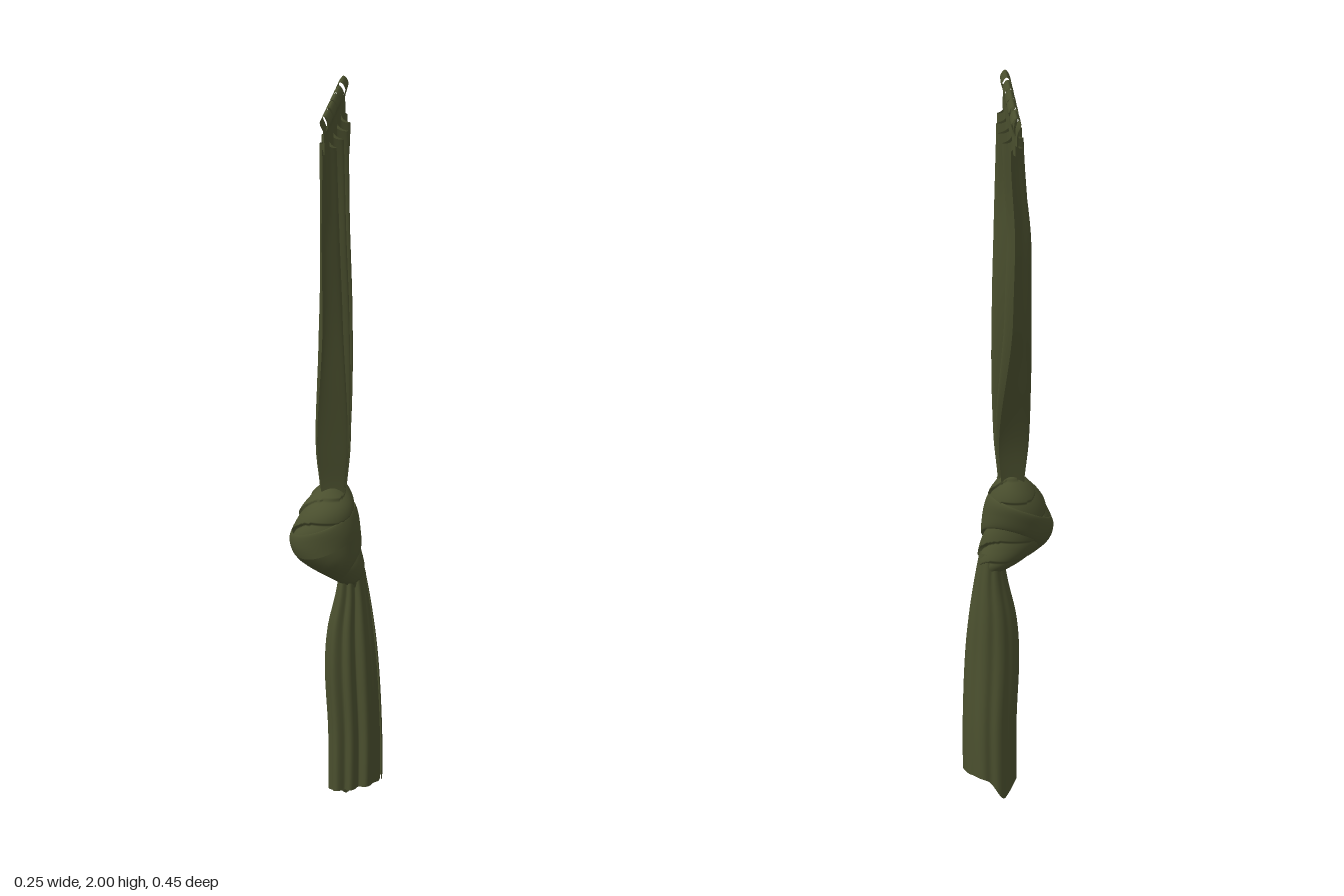
import * as THREE from 'three';

const { lerp, smoothstep } = THREE.MathUtils;

// Smooth lookup in rows of [height, ...values], heights ascending
function profile(rows) {
  const size = rows[0].length - 1;
  const cubic = new THREE.CubicInterpolant(
    rows.map(r => r[0]), rows.flatMap(r => r.slice(1)), size, new Float32Array(size));
  return y => Array.from(cubic.evaluate(y));
}

// Surface from a rule fn(u, v) -> [x, y, z]; closed joins the two ends of u
function sheet(fn, nu, nv, closed = false) {
  const pos = [], index = [], cols = closed ? nu : nu + 1;
  for (let j = 0; j <= nv; j++)
    for (let i = 0; i < cols; i++) pos.push(...fn(i / nu, j / nv));
  for (let j = 0; j < nv; j++)
    for (let i = 0; i < nu; i++) {
      const a = j * cols + i, b = j * cols + (i + 1) % cols;
      index.push(a, b, a + cols, b, b + cols, a + cols);
    }
  const g = new THREE.BufferGeometry();
  g.setAttribute('position', new THREE.Float32BufferAttribute(pos, 3));
  g.setIndex(index);
  g.computeVertexNormals();
  return g;
}

export function createModel() {
  const model = new THREE.Group();
  model.name = 'knottedCurtain';
  const fabric = new THREE.MeshStandardMaterial({ color: 0x4a4f2e, side: THREE.DoubleSide });
  fabric.name = 'olive fabric';
  const add = (name, geometry, parent = model) => {
    const mesh = new THREE.Mesh(geometry, fabric);
    mesh.name = name;
    parent.add(mesh);
  };

  // Hanging tabs: teardrop loops that flare towards the rod and pinch at the sides
  const tabZ = [0.187, 0.092, 0.006, -0.077, -0.187];
  const loop = new THREE.CatmullRomCurve3([
    [-0.008, 1.885], [-0.009, 1.92], [-0.008, 1.95], [-0.014, 1.98], [0, 2],
    [0.014, 1.98], [0.008, 1.95], [0.009, 1.92], [0.008, 1.885],
  ].map(([x, y]) => new THREE.Vector3(x, y, 0)));
  const tabs = new THREE.Group();
  tabs.name = 'tabs';
  model.add(tabs);
  for (const z of tabZ)
    add('tab', sheet((u, v) => {
      const p = loop.getPoint(v), side = u * 2 - 1;
      const half = lerp(0.023, 0.038, smoothstep(p.y, 1.89, 1.985));
      const pinch = 1 - 0.75 * side * side * smoothstep(1.985 - p.y, 0, 0.05);
      return [-0.007 + p.x * pinch, Math.min(p.y, 2), z + side * half];
    }, 8, 32), tabs);

  // Upper drape: pleats that lean over each other, gathered into the knot
  // rows: height, front edge z, back edge z, centre x, pleat depth
  const drape = profile([
    [0.8, 0.045, -0.025, -0.01, 0.028], [0.9, 0.048, -0.034, -0.008, 0.035],
    [1.0, 0.066, -0.048, -0.008, 0.045], [1.2, 0.104, -0.108, -0.004, 0.049],
    [1.4, 0.134, -0.158, -0.002, 0.046], [1.6, 0.164, -0.188, -0.003, 0.041],
    [1.9, 0.2, -0.203, -0.005, 0.035],
  ]);
  add('upperDrape', sheet((u, v) => {
    const s = lerp(-0.04, 1.04, u), wave = s * Math.PI * 8;
    const top = 1.895 + 0.02 * Math.pow(0.5 + 0.5 * Math.cos(wave * 2), 2);
    const y = lerp(0.8, top, v);
    const [z0, z1, cx, depth] = drape(Math.min(y, 1.9));
    const low = smoothstep(1.9 - y, 0, 0.3);
    const wide = smoothstep(y, 0.95, 1.4);
    const sine = Math.sin(wave);
    const pleat = lerp(sine * sine * sine, sine, low);
    const taper = 1 - 0.45 * wide * (1 - Math.sin(Math.PI * u));
    const bulge = -0.022 * wide * low * smoothstep(u, 0.5, 0.85);
    const lean = (z0 - z1) * 0.055 * low * Math.sin(Math.PI * u);
    return [cx + bulge + depth * taper * pleat, y, lerp(z0, z1, u) + lean * sine];
  }, 160, 40));

  // Knot body: lopsided bundle with slanting layered folds
  // rows: height, min x, max x, min z, max z
  const knot = profile([
    [0.62, 0.03, 0.078, -0.015, 0.05], [0.65, -0.03, 0.084, -0.034, 0.075],
    [0.7, -0.1, 0.077, -0.045, 0.108], [0.75, -0.124, 0.07, -0.055, 0.114],
    [0.8, -0.112, 0.062, -0.066, 0.117], [0.85, -0.088, 0.052, -0.068, 0.102],
    [0.89, -0.054, 0.034, -0.05, 0.055], [0.91, -0.03, 0.02, -0.03, 0.035],
  ]);
  const knotPoint = (a, y, scale) => {
    const [x0, x1, z0, z1] = knot(Math.min(Math.max(y, 0.62), 0.91));
    return [(x0 + x1) / 2 + (x1 - x0) / 2 * Math.cos(a) * scale, y,
      (z0 + z1) / 2 + (z1 - z0) / 2 * Math.sin(a) * scale];
  };
  add('knotBody', sheet((u, v) => {
    const a = u * Math.PI * 2, y = lerp(0.62, 0.91, v);
    const t = (y - 0.62) * 17 + u * 3 + 0.25 * Math.sin(a * 2);
    const ledge = t - Math.floor(t);
    return knotPoint(a, y, 1 - 0.12 * ledge * ledge);
  }, 96, 72, true));

  // Wrap: broad band over the knot, rising towards the left and the back
  add('knotWrap', sheet((u, v) => {
    const a = u * Math.PI * 2, s = v * Math.PI * 2;
    const mid = 0.755 - 0.032 * Math.sin(a) + 0.035 * Math.cos(a);
    const half = 0.055 + 0.018 * Math.sin(a);
    const ripple = 0.008 * Math.sin(Math.sin(s) * 4 + a);
    return knotPoint(a, mid + half * Math.sin(s), 0.975 + 0.07 * Math.cos(s) + ripple);
  }, 72, 24, true));

  // Tail: sheet rolled round past itself, pleated at the front
  // rows: height, centre x, centre z, half width x, half width z
  const tail = profile([
    [0, 0.05, -0.01, 0.072, 0.095], [0.1, 0.051, -0.006, 0.074, 0.09],
    [0.2, 0.051, -0.002, 0.074, 0.083], [0.4, 0.043, 0.01, 0.074, 0.066],
    [0.5, 0.042, 0.013, 0.065, 0.057], [0.6, 0.046, 0.016, 0.046, 0.046],
    [0.68, 0.045, 0.018, 0.032, 0.04],
  ]);
  add('tail', sheet((u, v) => {
    const a = -0.9 + u * (Math.PI * 2 + 1.05);
    const dip = 0.045 * Math.pow(Math.max(0, Math.cos(a + 2.05)), 12);
    const hem = 0.054 + 0.014 * Math.cos(a) - dip;
    const y = lerp(hem, 0.68, v);
    const [cx, cz, rx, rz] = tail(y);
    const side = Math.sin(a);
    const groove = Math.pow(0.5 + 0.5 * Math.cos(a * 9 + 1.2), 1.5);
    const pleat = 1 - (side > 0 ? 0.3 : 0.08) * side * side * groove;
    const r = pleat * lerp(0.85, 1, smoothstep(u, 0, 0.25));
    return [cx + rx * r * Math.cos(a), y, cz + rz * r * Math.sin(a)];
  }, 120, 30));

  return model;
}
